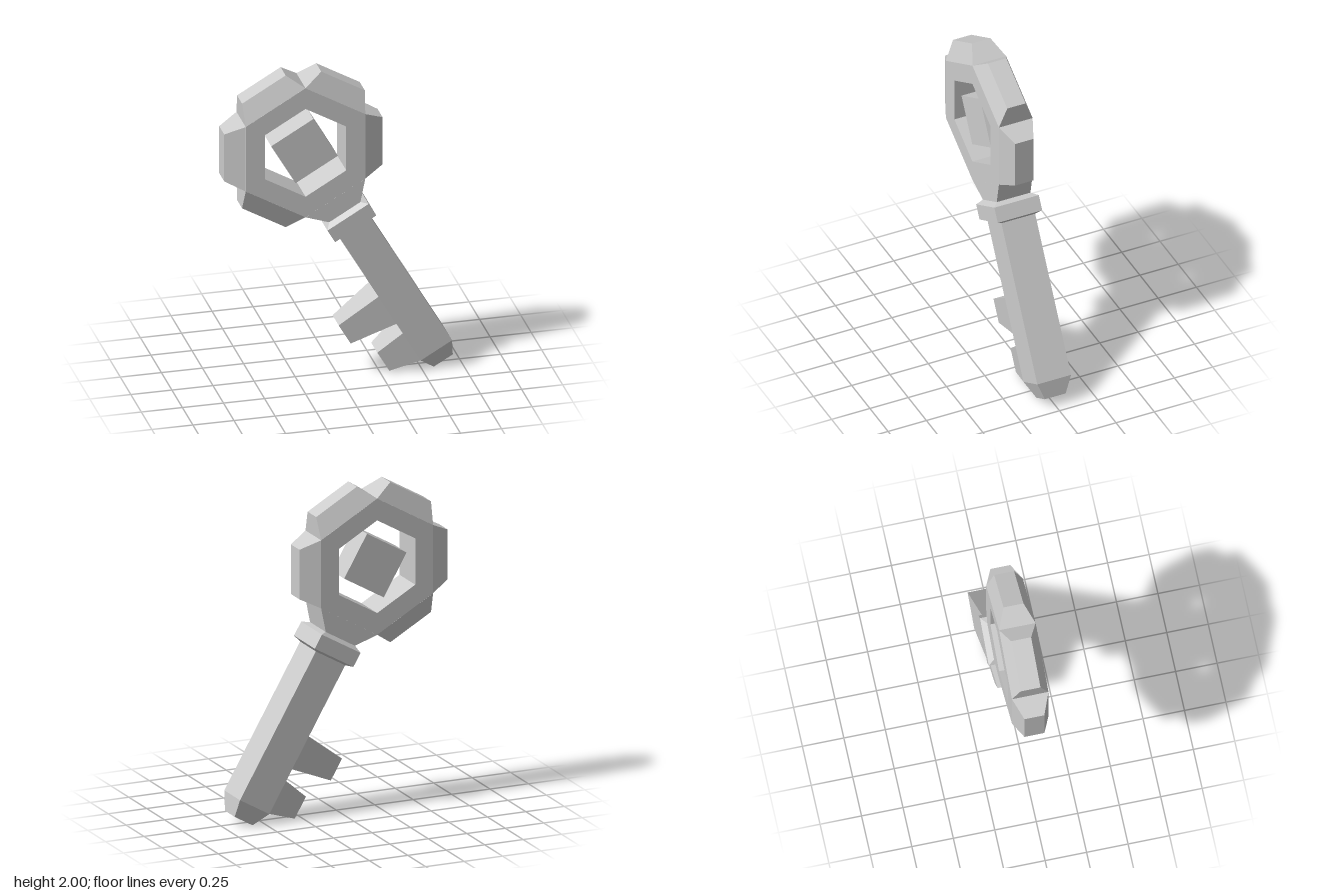
import * as THREE from 'three';

const material = new THREE.MeshStandardMaterial({ color: 0xcccccc, flatShading: true });

// Rectangular loft running down -y; each section is [distance, half width, half depth]
function loft(sections) {
  const pos = [], idx = [];
  for (const [s, w, d] of sections) {
    pos.push(-w, -s, d, w, -s, d, w, -s, -d, -w, -s, -d);
  }
  for (let k = 0; k < sections.length - 1; k++) {
    for (let i = 0; i < 4; i++) {
      const a = k * 4 + i, b = k * 4 + (i + 1) % 4;
      idx.push(a, a + 4, b + 4, a, b + 4, b);
    }
  }
  const e = (sections.length - 1) * 4;
  idx.push(0, 1, 2, 0, 2, 3, e, e + 2, e + 1, e, e + 3, e + 2);
  const g = new THREE.BufferGeometry();
  g.setAttribute('position', new THREE.Float32BufferAttribute(pos, 3));
  g.setIndex(idx);
  const flat = g.toNonIndexed();
  flat.computeVertexNormals();
  return flat;
}

// Hexagon with flat sides at top and bottom
function hexagon(radius) {
  return Array.from({ length: 6 }, (_, i) => {
    const a = i * Math.PI / 3;
    return new THREE.Vector2(radius * Math.cos(a), radius * Math.sin(a));
  });
}

export function createModel() {
  const model = new THREE.Group();
  model.name = 'key';

  // The key is built upright around the head centre, then tilted
  const key = new THREE.Group();
  key.name = 'tiltedKey';
  key.position.set(-0.215, 1.508, 0);
  key.rotation.z = Math.PI / 6;
  model.add(key);

  const add = (name, geometry) => {
    const mesh = new THREE.Mesh(geometry, material);
    mesh.name = name;
    key.add(mesh);
    return mesh;
  };

  // Hexagonal head with a hexagonal hole
  const shape = new THREE.Shape(hexagon(0.42));
  shape.holes.push(new THREE.Path(hexagon(0.286)));
  const ring = new THREE.ExtrudeGeometry(shape, { depth: 0.22, bevelEnabled: false });
  ring.translate(0, 0, -0.11);
  add('headRing', ring);

  // Tapered lobes on every side but the one facing the shaft
  for (let i = 1; i < 6; i++) {
    const lobe = add('headLobe', loft([[0.364, 0.21, 0.11], [0.482, 0.153, 0.06]]));
    lobe.rotation.z = i * Math.PI / 3;
  }

  // Block floating in the hole
  add('centreBlock', new THREE.BoxGeometry(0.297, 0.297, 0.17));

  // Neck, collar and shaft with a tapered tip
  add('neck', loft([[0.364, 0.21, 0.11], [0.478, 0.11, 0.11]]));
  add('collar', loft([[0.478, 0.11, 0.11], [0.5, 0.145, 0.145], [0.593, 0.145, 0.145], [0.607, 0.11, 0.11]]));
  add('shaft', loft([[0.607, 0.11, 0.11], [1.593, 0.11, 0.11], [1.698, 0.067, 0.068]]));

  // Tapered teeth
  for (const [y, reach] of [[1.188, 0.4], [1.483, 0.299]]) {
    const tooth = add('tooth', loft([[0.11, 0.109, 0.11], [reach, 0.073, 0.073]]));
    tooth.position.y = -y;
    tooth.rotation.z = -Math.PI / 2;
  }

  return model;
}
